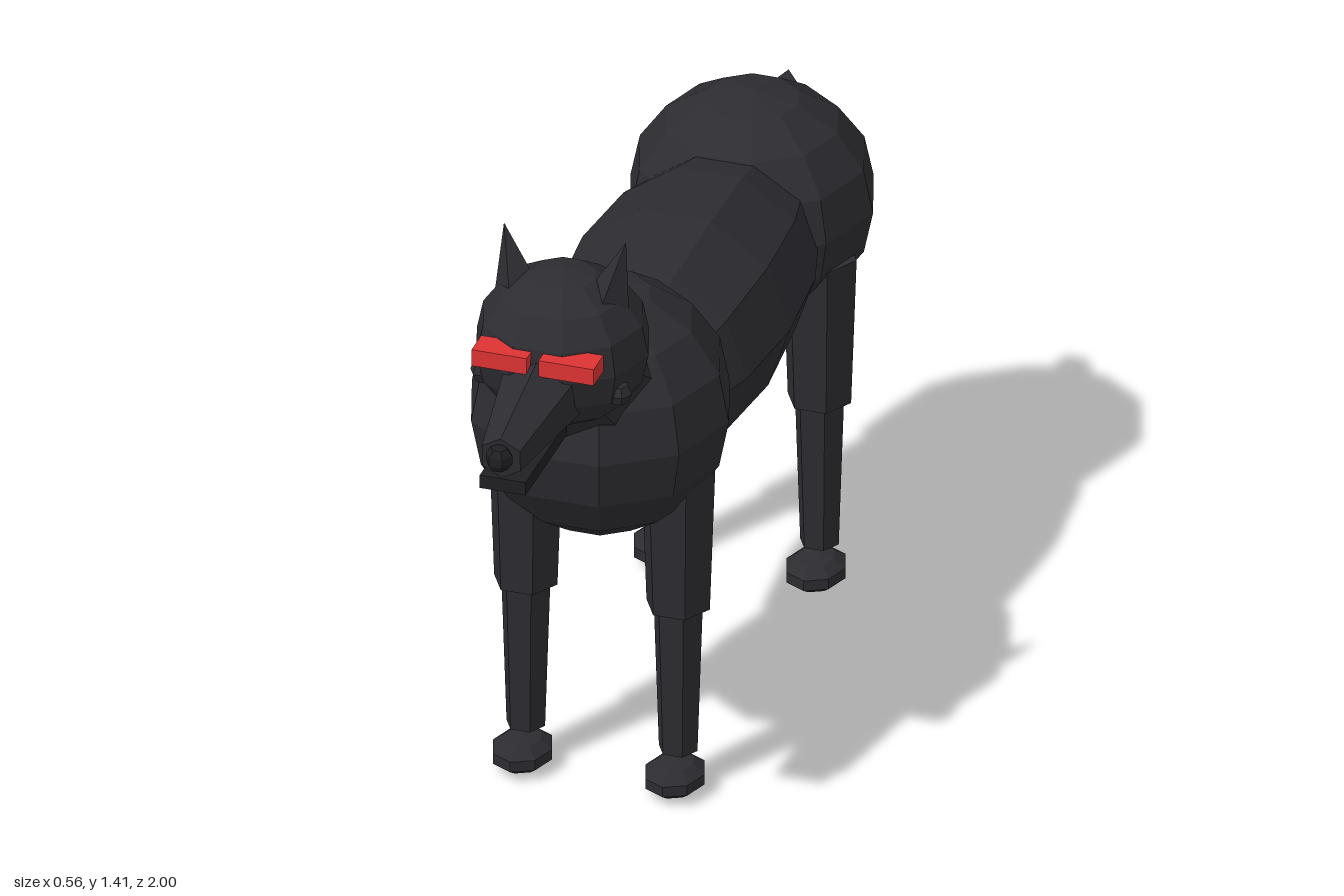
import * as THREE from 'three';

const fur = new THREE.MeshStandardMaterial({ color: 0x2c2c31, flatShading: true });
fur.name = 'dark fur';
const black = new THREE.MeshStandardMaterial({ color: 0x1f1f23, flatShading: true });
black.name = 'black';
const red = new THREE.MeshStandardMaterial({ color: 0xdd3333, flatShading: true });
red.name = 'eye red';

function add(parent, name, geometry, material, x, y, z) {
  const mesh = new THREE.Mesh(geometry, material);
  mesh.name = name;
  mesh.position.set(x, y, z);
  parent.add(mesh);
  return mesh;
}

// Faceted ellipsoid
function ball(rx, ry, rz, segments = 10, rings = 8) {
  return new THREE.SphereGeometry(1, segments, rings).scale(rx, ry, rz);
}

// Tapered prism running from point a to point b
function limb(parent, name, material, a, b, ra, rb, sides, turn = 0) {
  const from = new THREE.Vector3(...a), to = new THREE.Vector3(...b);
  const axis = to.clone().sub(from);
  const geometry = new THREE.CylinderGeometry(rb, ra, axis.length(), sides).rotateY(turn);
  const mid = from.add(to).multiplyScalar(0.5);
  const mesh = add(parent, name, geometry, material, mid.x, mid.y, mid.z);
  mesh.quaternion.setFromUnitVectors(new THREE.Vector3(0, 1, 0), axis.normalize());
  return mesh;
}

export function createModel() {
  const model = new THREE.Group();
  model.name = 'wolf';

  // Body masses
  add(model, 'chest', ball(0.28, 0.28, 0.28), fur, 0, 0.888, 0.315);
  add(model, 'haunch', ball(0.264, 0.247, 0.262), fur, 0, 0.855, -0.668);
  const barrel = ball(0.25, 0.58, 0.24).rotateX(Math.PI / 2);
  barrel.scale(1, 0.238 / 0.24, 1);
  add(model, 'barrel', barrel, fur, 0, 0.842, -0.17);
  limb(model, 'neck', fur, [0, 0.97, 0.36], [0, 1.1, 0.53], 0.19, 0.14, 8);

  // Head
  const head = new THREE.Group();
  head.name = 'head';
  model.add(head);
  add(head, 'skull', ball(0.187, 0.173, 0.187), fur, 0, 1.16, 0.56);
  limb(head, 'snout', fur, [0, 1.12, 0.64], [0, 1.096, 0.96], 0.1, 0.048, 6);
  add(head, 'jaw', new THREE.BoxGeometry(0.1, 0.03, 0.27), black, 0, 1.027, 0.815);
  add(head, 'nose', ball(0.03, 0.03, 0.03, 6, 5), black, 0, 1.103, 0.972);

  for (const s of [-1, 1]) {
    add(head, 'eye', new THREE.BoxGeometry(0.12, 0.038, 0.064), red, s * 0.073, 1.202, 0.724);
    limb(head, 'ear', fur, [s * 0.096, 1.265, 0.565], [s * 0.133, 1.41, 0.545], 0.052, 0, 4);
    add(head, 'cheek', ball(0.028, 0.028, 0.028, 6, 4), fur, s * 0.148, 1.105, 0.635);
  }

  // Tail
  limb(model, 'tail', fur, [0, 0.985, -0.88], [0, 0.898, -1], 0.045, 0, 4);

  // Legs and paws
  for (const [label, z, paw] of [['front', 0.305, 0.326], ['rear', -0.612, -0.59]]) {
    for (const s of [-1, 1]) {
      const x = s * 0.166, leg = new THREE.Group();
      leg.name = label + 'Leg';
      model.add(leg);
      limb(leg, 'upperLeg', fur, [x, 0.43, z], [x, 0.77, z], 0.069, 0.081, 6, Math.PI / 6);
      limb(leg, 'lowerLeg', fur, [x, 0.09, z], [x, 0.45, z], 0.042, 0.054, 6, Math.PI / 6);
      add(leg, 'paw', ball(0.068, 0.038, 0.084, 8, 5), fur, x, 0.038, paw);
    }
  }
  return model;
}
